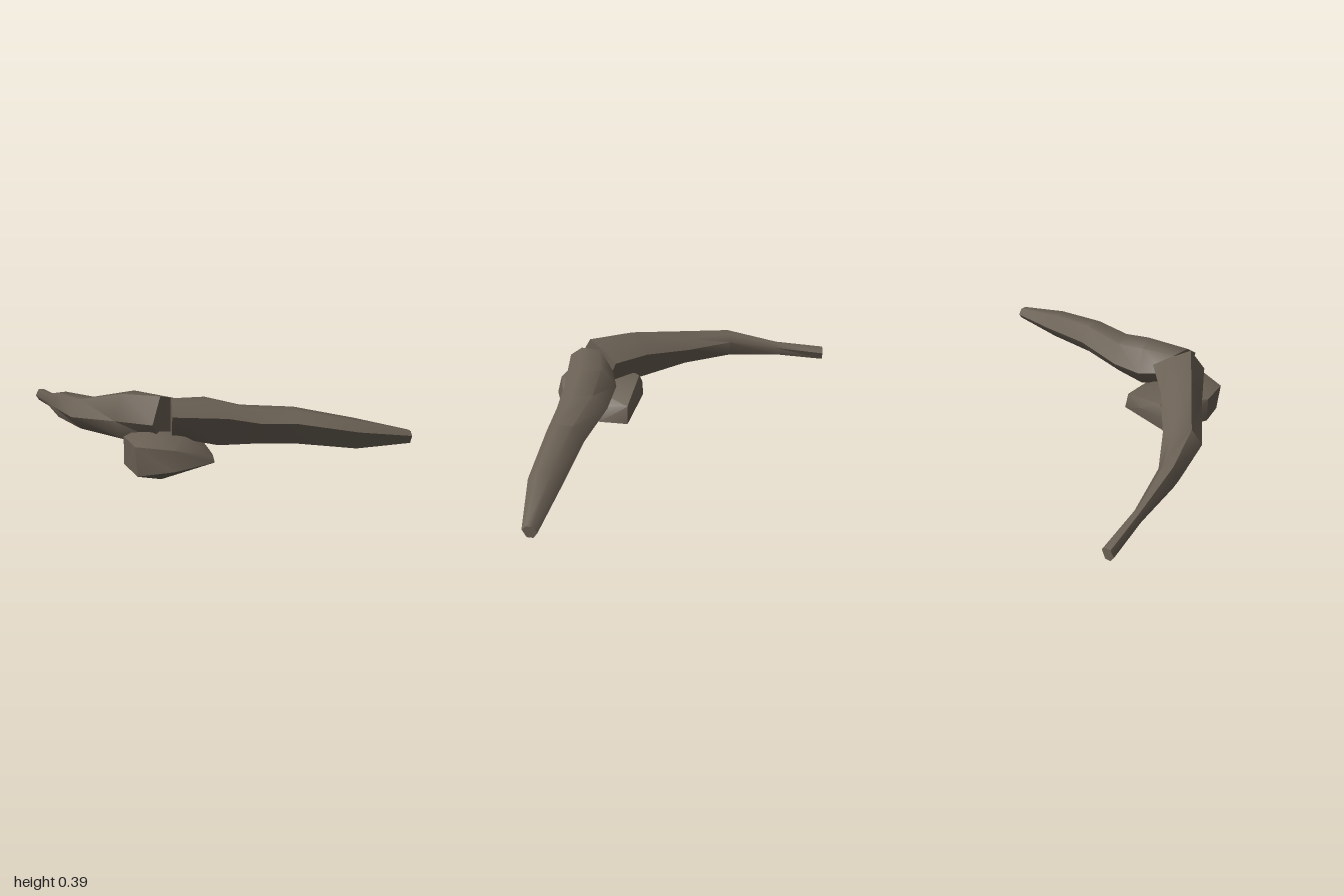
import * as THREE from 'three';
import { toCreasedNormals } from 'three/addons/utils/BufferGeometryUtils.js';
import { ConvexGeometry } from 'three/addons/geometries/ConvexGeometry.js';

const bark = new THREE.MeshStandardMaterial({ color: 0x6a6054 });
bark.name = 'greyBrown';

// Limb from six-sided sections: [right x, right z, left x, left z, bottom y, top y, tilt of the top]
// shoulder: how high the right and left corners sit within a section (0 to 1)
function limb(name, sections, shoulderR, shoulderL) {
  const pos = [], index = [], n = 6;
  for (const [rx, rz, lx, lz, y0, y1, tilt = 0] of sections) {
    const h = y1 - y0;
    const ring = [
      [0, y0 + h * shoulderR], [0.28, y1 - tilt], [0.72, y1],
      [1, y0 + h * shoulderL], [0.72, y0], [0.28, y0],
    ];
    for (const [t, y] of ring) pos.push(rx + (lx - rx) * t, y, rz + (lz - rz) * t);
  }
  for (let k = 0; k < sections.length - 1; k++) {
    for (let i = 0; i < n; i++) {
      const a = k * n + i, b = k * n + (i + 1) % n;
      index.push(a, a + n, b, b, a + n, b + n);
    }
  }
  // end caps
  const e = (sections.length - 1) * n;
  for (let i = 1; i < n - 1; i++) index.push(0, i, i + 1, e, e + i + 1, e + i);

  const geo = new THREE.BufferGeometry();
  geo.setAttribute('position', new THREE.Float32BufferAttribute(pos, 3));
  geo.setIndex(index);
  const mesh = new THREE.Mesh(toCreasedNormals(geo, 1.0), bark);
  mesh.name = name;
  return mesh;
}

export function createModel() {
  const group = new THREE.Group();
  group.name = 'branchingLimbs';

  // long limb curving to the back
  group.add(limb('backLimb', [
    [-0.19, 0.15, -0.45, 0.20, 0.18, 0.39, 0.03],
    [-0.22, -0.05, -0.42, -0.05, 0.15, 0.365],
    [-0.22, -0.30, -0.40, -0.34, 0.15, 0.295],
    [-0.19, -0.54, -0.28, -0.58, 0.15, 0.275],
    [-0.08, -0.76, -0.12, -0.79, 0.145, 0.21],
    [0.06, -0.965, 0.01, -1.0, 0.12, 0.18],
  ], 0.72, 0.45));

  // thicker limb reaching to the front
  group.add(limb('frontLimb', [
    [-0.41, 0.28, -0.25, 0.14, 0.21, 0.365],
    [-0.20, 0.43, -0.12, 0.19, 0.15, 0.355],
    [-0.09, 0.53, 0.00, 0.31, 0.15, 0.312],
    [0.04, 0.65, 0.17, 0.53, 0.145, 0.30],
    [0.25, 0.85, 0.36, 0.75, 0.11, 0.24],
    [0.49, 1.0, 0.535, 0.95, 0.115, 0.172],
  ], 0.68, 0.5));

  // faceted lump under the joint
  const corners = [
    [-0.365, 0, 0.18], [-0.52, 0.05, 0.17], [-0.535, 0.19, 0.17],
    [-0.055, 0.06, 0.17], [-0.07, 0.15, 0.16], [-0.12, 0.08, 0.29],
    [-0.27, 0.10, 0.41], [-0.27, 0.13, 0.40], [-0.46, 0.09, 0.34],
    [-0.45, 0.18, 0.32], [-0.33, 0.21, 0.29], [-0.40, 0.235, 0.17],
    [-0.25, 0.06, -0.04], [-0.25, 0.14, -0.035], [-0.22, 0.20, 0],
    [-0.46, 0.07, 0.04], [-0.46, 0.2, 0.04], [-0.13, 0.14, 0.05],
  ].map((p) => new THREE.Vector3(...p));
  const lump = new THREE.Mesh(toCreasedNormals(new ConvexGeometry(corners), 0.7), bark);
  lump.name = 'baseLump';
  group.add(lump);

  return group;
}
